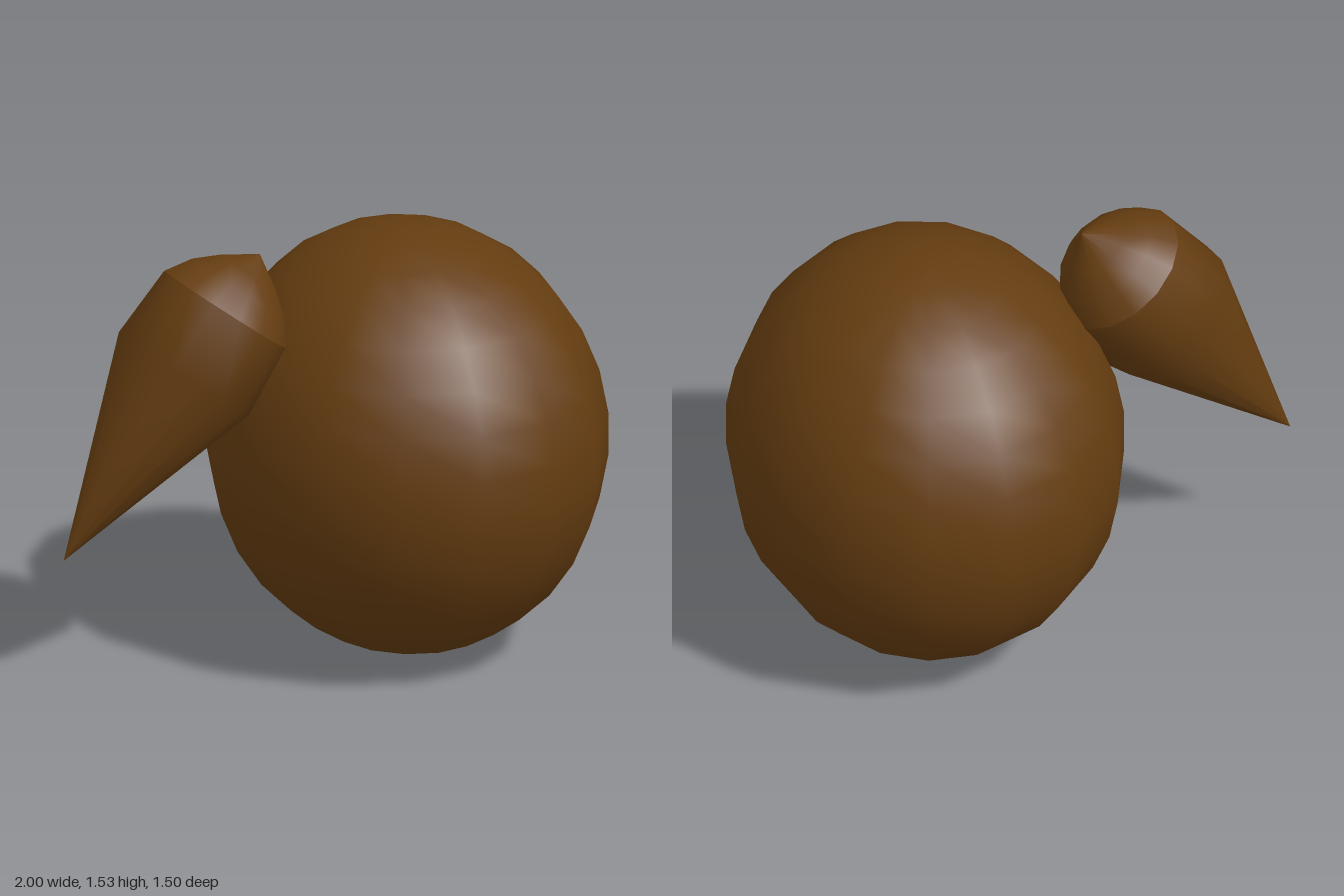
import * as THREE from 'three';

const SIDES = 15;

export function createModel() {
  const model = new THREE.Group();
  const brown = new THREE.MeshStandardMaterial({ color: 0x643c10 });

  // Large rounded mass, slightly narrower in x than in y and z
  const ball = new THREE.Mesh(new THREE.SphereGeometry(1, SIDES, SIDES, Math.PI), brown);
  ball.name = 'roundBody';
  ball.scale.set(0.686, 0.762, 0.757);
  ball.position.set(0.318, 0.763, 0);
  model.add(ball);

  // Tapered tail: local y runs from the hanging tip up to the domed end
  const tail = new THREE.Group();
  tail.name = 'tail';
  tail.position.set(-1, 0.52, 0);
  tail.rotation.z = -Math.atan2(0.602, 0.799);
  model.add(tail);

  const turn = (name, profile) => {
    const points = profile.map(([r, y]) => new THREE.Vector2(r, y));
    const mesh = new THREE.Mesh(new THREE.LatheGeometry(points, SIDES, -Math.PI / 2), brown);
    mesh.name = name;
    tail.add(mesh);
  };

  // Long cone and its short collar
  turn('tailCone', [[0, 0], [0.267, 0.766], [0.249, 1.028]]);
  // Dome closing the thick end, with a crease at its rim
  turn('tailDome', [[0.249, 1.028], [0.19, 1.115], [0.115, 1.178], [0, 1.253]]);

  return model;
}
